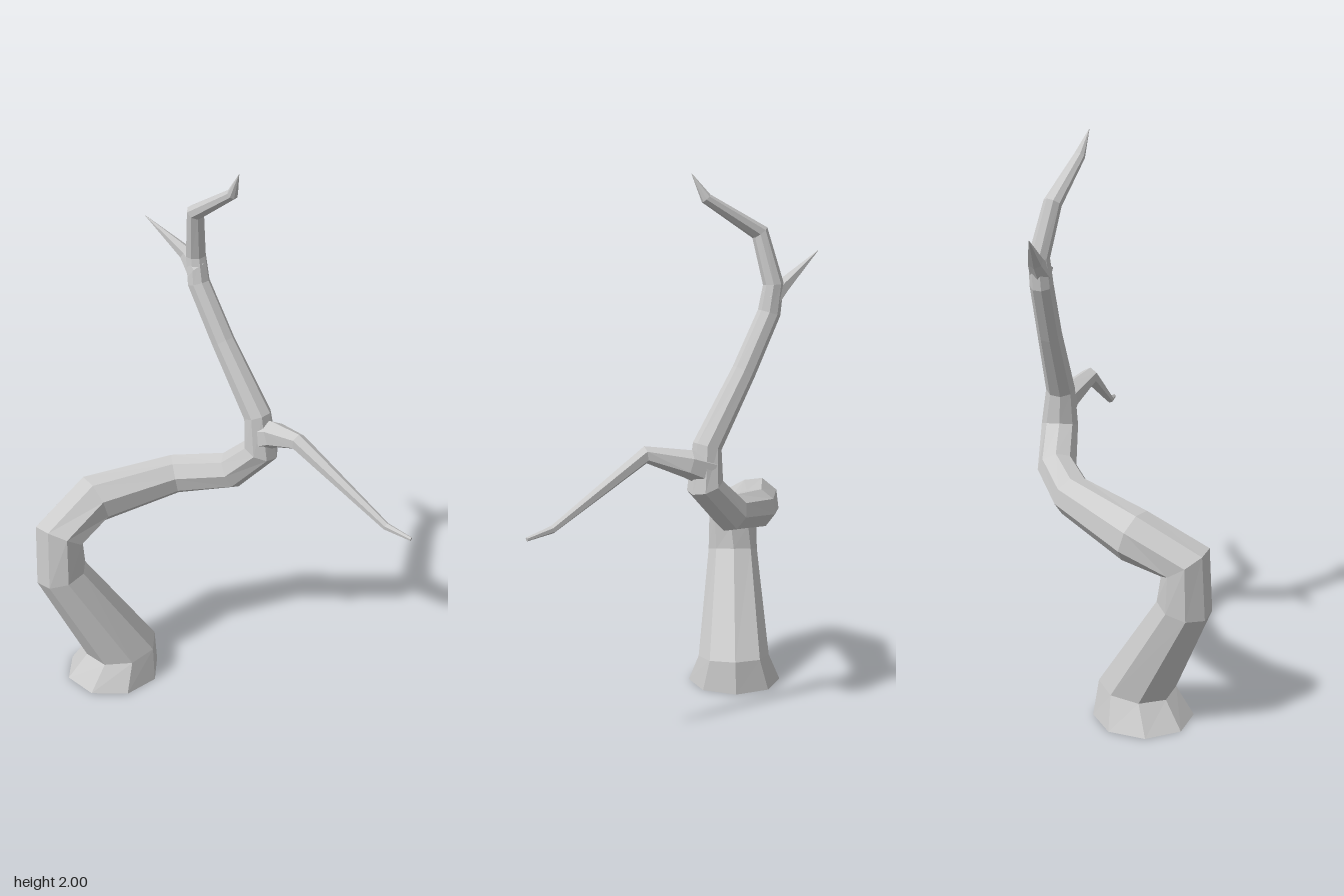
import * as THREE from 'three';

const material = new THREE.MeshStandardMaterial({
  color: 0xcccccc, flatShading: true, side: THREE.DoubleSide,
});

// Sweeps a tapering polygon along stations [x, y, z, radius]; rings are mitred at bends.
function limb(name, stations, sides, firstTangent, firstNormal) {
  const centres = stations.map(([x, y, z]) => new THREE.Vector3(x, y, z));
  const last = centres.length - 1;
  const direction = (i) => centres[i + 1].clone().sub(centres[i]).normalize();
  const tangents = centres.map((_, i) => {
    if (i === 0) return firstTangent ? firstTangent.clone() : direction(0);
    if (i === last) return direction(last - 1);
    return direction(i - 1).add(direction(i)).normalize();
  });

  const normal = firstNormal.clone().projectOnPlane(tangents[0]).normalize();
  const turn = new THREE.Quaternion();
  const positions = [];
  const indices = [];
  centres.forEach((centre, i) => {
    // carry the normal along without twisting
    if (i > 0) normal.applyQuaternion(turn.setFromUnitVectors(tangents[i - 1], tangents[i]));
    const binormal = new THREE.Vector3().crossVectors(tangents[i], normal);
    for (let j = 0; j < sides; j++) {
      const a = (j / sides) * Math.PI * 2;
      const p = centre.clone()
        .addScaledVector(normal, Math.cos(a) * stations[i][3])
        .addScaledVector(binormal, Math.sin(a) * stations[i][3]);
      positions.push(p.x, p.y, p.z);
      if (i < last) {
        const k = (j + 1) % sides;
        const q = i * sides;
        indices.push(q + j, q + k, q + sides + k, q + j, q + sides + k, q + sides + j);
      }
    }
  });

  // close the thin end
  positions.push(...centres[last].toArray());
  for (let j = 0; j < sides; j++) {
    indices.push(last * sides + j, last * sides + ((j + 1) % sides), (last + 1) * sides);
  }

  const geometry = new THREE.BufferGeometry();
  geometry.setAttribute('position', new THREE.Float32BufferAttribute(positions, 3));
  geometry.setIndex(indices);
  geometry.computeVertexNormals();
  const mesh = new THREE.Mesh(geometry, material);
  mesh.name = name;
  return mesh;
}

export function createModel() {
  const tree = new THREE.Group();
  tree.name = 'bareTree';
  const up = new THREE.Vector3(0, 1, 0);

  // flared foot, crooked trunk and pointed crown in one sweep
  tree.add(limb('trunk', [
    [-0.445, 0, 0.095, 0.178],
    [-0.415, 0.11, 0.08, 0.137],
    [-0.6, 0.48, 0.195, 0.096],
    [-0.6, 0.64, 0.195, 0.096],
    [-0.51, 0.715, 0.04, 0.094],
    [-0.24, 0.767, -0.115, 0.074],
    [-0.03, 0.8, -0.13, 0.07],
    [0.09, 0.92, -0.095, 0.066],
    [0.075, 1.06, -0.095, 0.052],
    [-0.065, 1.31, -0.16, 0.043],
    [-0.163, 1.51, -0.205, 0.041],
    [-0.175, 1.61, -0.215, 0.037],
    [-0.163, 1.79, -0.165, 0.032],
    [-0.005, 1.915, -0.04, 0.02],
    [0.025, 2, 0, 0.001],
  ], 8, up, new THREE.Vector3(Math.cos(0.21), 0, Math.sin(0.21))));

  // drooping side branch
  tree.add(limb('sideBranch', [
    [0.08, 0.975, -0.1, 0.06],
    [0.145, 1.005, -0.06, 0.05],
    [0.25, 1.045, 0.05, 0.031],
    [0.59, 0.833, 0.205, 0.014],
    [0.683, 0.815, 0.243, 0.007],
  ], 6, null, up));

  // short twig high on the trunk
  tree.add(limb('twig', [
    [-0.165, 1.555, -0.205, 0.042],
    [-0.215, 1.605, -0.235, 0.027],
    [-0.375, 1.715, -0.285, 0.001],
  ], 6, null, up));

  return tree;
}
